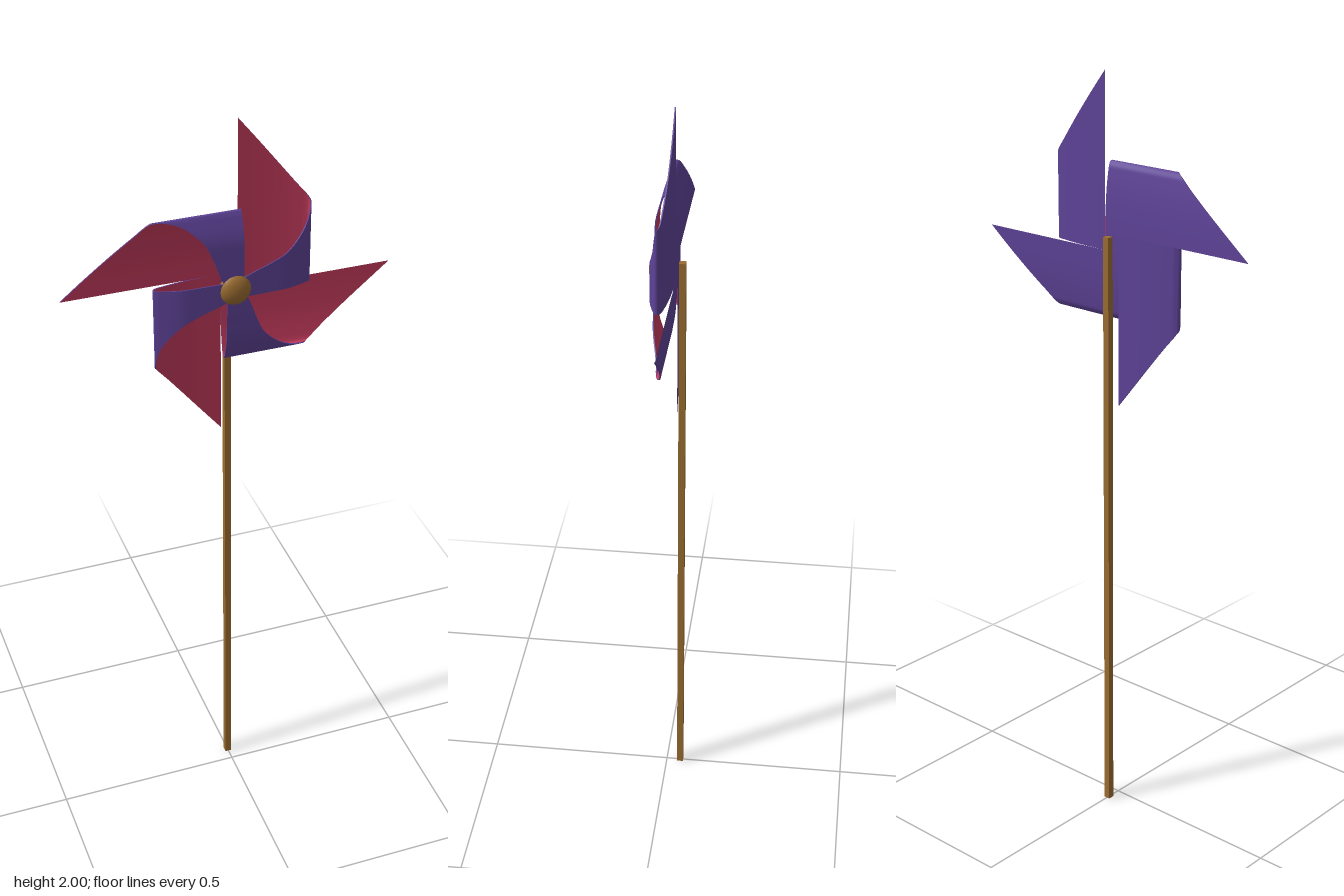
import * as THREE from 'three';
import { toCreasedNormals } from 'three/addons/utils/BufferGeometryUtils.js';

const purple = new THREE.MeshStandardMaterial({ color: 0x5d4296 });
const red = new THREE.MeshStandardMaterial({ color: 0xc0395a });
const wood = new THREE.MeshStandardMaterial({ color: 0x9a6c30 });

const HUB_Y = 1.577;
const GAP = 0.022; // half size of the flat centre of the sheet
const PAPER = 0.0015; // half the paper thickness

// Surface through equal-length rows of points
function loft(rows) {
  const n = rows[0].length;
  const index = [];
  for (let i = 0; i < rows.length - 1; i++) {
    for (let j = 0; j < n - 1; j++) {
      const a = i * n + j, b = a + n;
      index.push(a, b, b + 1, a, b + 1, a + 1);
    }
  }
  const geo = new THREE.BufferGeometry();
  geo.setAttribute('position', new THREE.Float32BufferAttribute(rows.flat(2), 3));
  geo.setIndex(index);
  return toCreasedNormals(geo, Math.PI / 5);
}

// One paper vane: x across the roll, z its depth, third value the height of the cut edge
function vaneGeometries() {
  const stations = [
    [0.022, -0.022, 0.422], [0.07, -0.021, 0.362], [0.12, -0.018, 0.298],
    [0.165, -0.012, 0.24], [0.195, -0.005, 0.202], [0.199, 0.002, 0.19],
    [0.185, 0.010, 0.135], [0.135, 0.024, 0.078], [0.09, 0.026, 0.056],
    [0.04, 0.027, 0.038], [0.0, 0.027, 0.02],
  ];
  const curve = new THREE.CatmullRomCurve3(
    stations.map(([x, z, top]) => new THREE.Vector3(x, top, z)), false, 'centripetal');
  const inner = [], outer = [];
  const steps = 40;
  for (let i = 0; i <= steps; i++) {
    const p = curve.getPoint(i / steps);
    const t = curve.getTangent(i / steps);
    const len = Math.hypot(t.x, t.z);
    const nx = -t.z / len * PAPER, nz = t.x / len * PAPER;
    const inTop = [p.x + nx, p.y, p.z + nz], inLow = [p.x + nx, -GAP, p.z + nz];
    const outTop = [p.x - nx, p.y, p.z - nz], outLow = [p.x - nx, -GAP, p.z - nz];
    inner.push([inLow, inTop]);
    outer.push([inTop, outTop, outLow, inLow]);
  }
  return { inner: loft(inner), outer: loft(outer) };
}

function add(parent, name, geometry, material, x = 0, y = 0, z = 0) {
  const mesh = new THREE.Mesh(geometry, material);
  mesh.name = name;
  mesh.position.set(x, y, z);
  parent.add(mesh);
  return mesh;
}

export function createModel() {
  const model = new THREE.Group();
  model.name = 'pinwheel';

  // Square stick
  add(model, 'stick', new THREE.BoxGeometry(0.017, 1.595, 0.017), wood, 0, 1.595 / 2, -0.0385);

  // Wheel of four rolled vanes
  const wheel = new THREE.Group();
  wheel.name = 'wheel';
  wheel.position.y = HUB_Y;
  model.add(wheel);
  const { inner, outer } = vaneGeometries();
  for (let i = 0; i < 4; i++) {
    const vane = new THREE.Group();
    vane.name = 'vane' + (i + 1);
    vane.rotation.z = -i * Math.PI / 2;
    add(vane, 'vaneInside', inner, red);
    add(vane, 'vaneOutside', outer, purple);
    wheel.add(vane);
  }

  // Flat centre of the sheet and the button in front
  add(wheel, 'sheetCentre', new THREE.BoxGeometry(GAP * 2, GAP * 2, PAPER * 2), purple, 0, 0, -0.022);
  const button = add(wheel, 'button', new THREE.SphereGeometry(0.041, 20, 12), wood, 0, 0, 0.022);
  button.scale.z = 0.53;

  return model;
}
